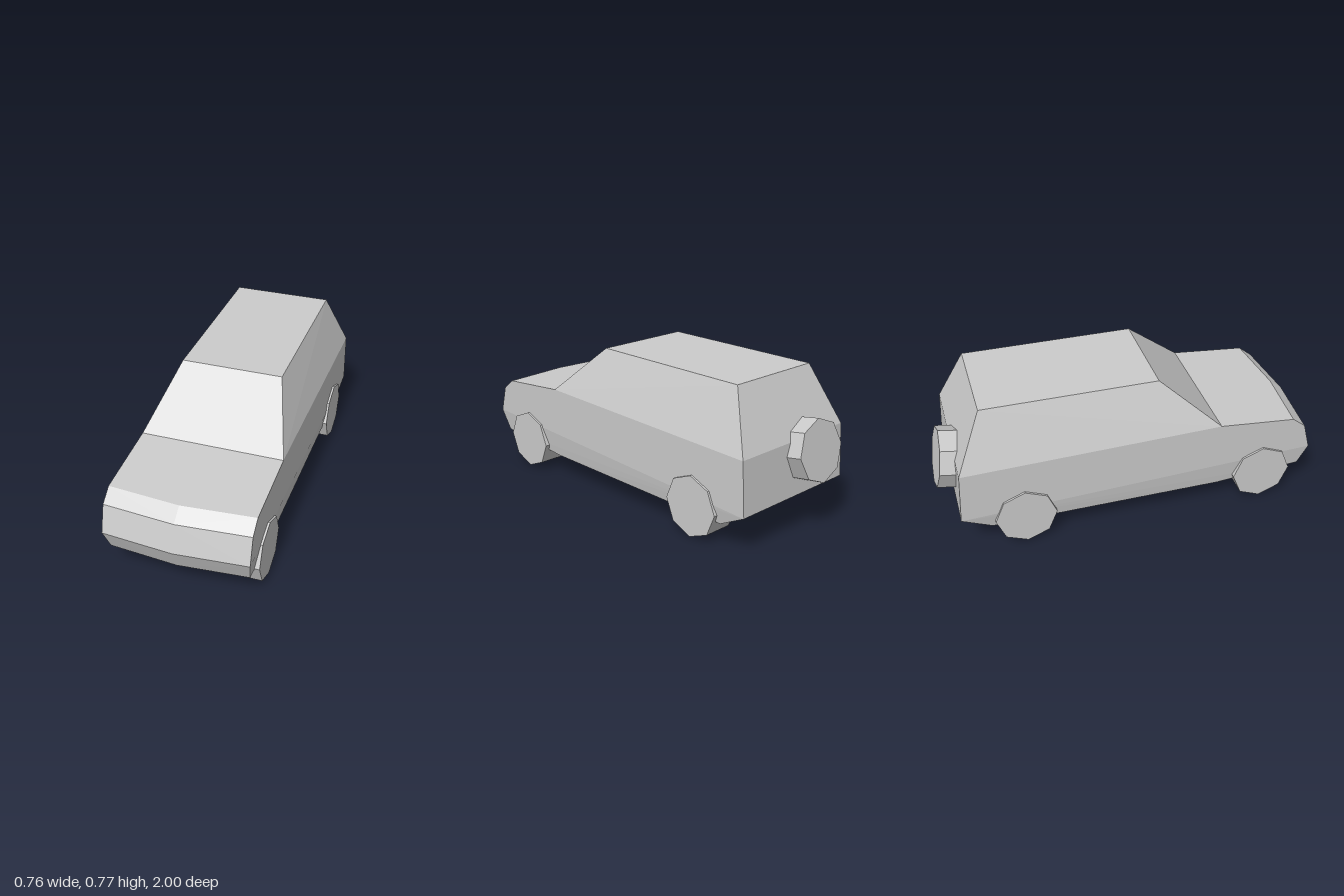
import * as THREE from 'three';
import { ConvexGeometry } from 'three/addons/geometries/ConvexGeometry.js';

const material = new THREE.MeshStandardMaterial({ color: 0xcccccc, flatShading: true });

// Convex shell from [halfWidth, y, z] corners, mirrored left and right
function shell(name, corners) {
  const points = [];
  for (const [x, y, z] of corners) {
    points.push(new THREE.Vector3(x, y, z));
    if (x > 0) points.push(new THREE.Vector3(-x, y, z));
  }
  const mesh = new THREE.Mesh(new ConvexGeometry(points), material);
  mesh.name = name;
  return mesh;
}

// Eight-sided wheel with its axle along y
function wheel(name, width) {
  const mesh = new THREE.Mesh(new THREE.CylinderGeometry(0.158, 0.158, width, 8), material);
  mesh.name = name;
  return mesh;
}

export function createModel() {
  const car = new THREE.Group();
  car.name = 'car';

  // Lower body: hood, sides, tail and underside
  const half = 0.367;
  const lower = [
    [half, 0.505, 0.455], [half, 0.475, -0.89], [half, 0.2, -0.905],
    [0.352, 0.118, -0.75], [0.348, 0.118, 0.46],
  ];
  // Nose rows, each pointed along the centre line: halfWidth, y, z at side
  const nose = [[half, 0.468, 0.857], [half, 0.412, 0.928], [half, 0.27, 0.968], [0.352, 0.157, 0.92]];
  for (const [x, y, z] of nose) lower.push([x, y, z], [0, y, z + 0.03]);
  car.add(shell('body', lower));

  // Cabin tapering up to the roof
  car.add(shell('cabin', [
    [0.262, 0.775, 0.145], [0.262, 0.775, -0.755],
    [half, 0.505, 0.455], [half, 0.475, -0.89],
  ]));

  // Road wheels
  for (const [end, z] of [['front', 0.7], ['rear', -0.578]]) {
    for (const [side, s] of [['Left', 1], ['Right', -1]]) {
      const w = wheel(end + side + 'Wheel', 0.153);
      w.rotation.z = Math.PI / 2;
      w.position.set(s * 0.3015, 0.158, z);
      car.add(w);
    }
  }

  // Spare wheel leaning with the tailgate
  const depth = 0.14;
  const tilt = 0.17;
  const spare = wheel('spareWheel', depth);
  spare.rotation.x = -Math.PI / 2 + tilt;
  spare.position.set(-0.1, 0.4225 - Math.sin(tilt) * depth / 2, -0.9725 + Math.cos(tilt) * depth / 2);
  car.add(spare);

  return car;
}
